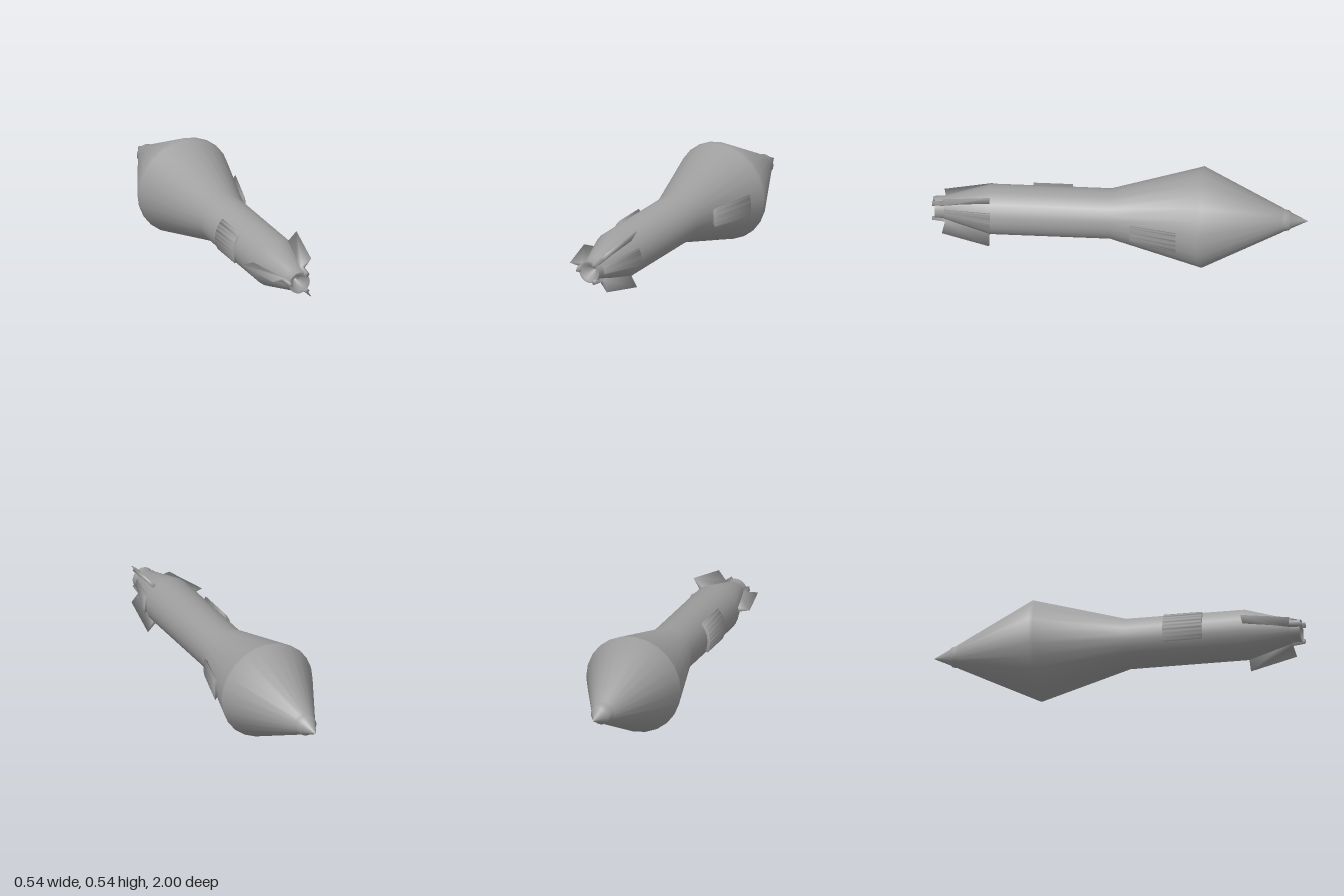
import * as THREE from 'three';
import { toCreasedNormals } from 'three/addons/utils/BufferGeometryUtils.js';

const material = new THREE.MeshStandardMaterial({ color: 0xa0a0a0 });
const rad = THREE.MathUtils.degToRad;

function part(name, geometry, crease) {
  const mesh = new THREE.Mesh(toCreasedNormals(geometry, crease), material);
  mesh.name = name;
  return mesh;
}

// Curved raised plate on the hull: section at zA with rA, blending to zB with rB
function plate(name, zA, zB, rA, rB, spanA, spanB, centre, depth) {
  const shape = new THREE.Shape();
  shape.absarc(0, 0, 1, -0.5, 0.5, false);
  shape.lineTo(0, 0);
  const geo = new THREE.ExtrudeGeometry(shape, { depth: 1, bevelEnabled: false, curveSegments: 8 });
  const pos = geo.attributes.position;
  for (let i = 0; i < pos.count; i++) {
    const t = pos.getZ(i);
    const outer = THREE.MathUtils.lerp(rA, rB, t);
    const span = rad(THREE.MathUtils.lerp(spanA, spanB, t));
    const isOuter = Math.hypot(pos.getX(i), pos.getY(i)) > 0.5;
    const r = isOuter ? outer : outer - depth;
    const angle = isOuter ? Math.atan2(pos.getY(i), pos.getX(i)) * span : 0;
    pos.setXYZ(i, r * Math.cos(angle), r * Math.sin(angle), THREE.MathUtils.lerp(zA, zB, t));
  }
  const mesh = part(name, geo, Math.PI);
  mesh.rotation.z = rad(centre);
  return mesh;
}

// Swept fin with a thick root rail and a knife-thin outer edge
function fin(centre) {
  const outline = [[0.69, 0.1], [0.69, 0.135], [0.69, 0.2], [0.945, 0.14], [0.93, 0.078], [1, 0.07], [1, 0.05], [0.9, 0.05]];
  const shape = new THREE.Shape(outline.map(([z, r]) => new THREE.Vector2(z, r)));
  const geo = new THREE.ExtrudeGeometry(shape, { depth: 1, bevelEnabled: false });
  const pos = geo.attributes.position;
  for (let i = 0; i < pos.count; i++) {
    const z = pos.getX(i), r = pos.getY(i), side = pos.getZ(i) - 0.5;
    const thickness = r > 0.137 ? 0.003 : 0.022;
    pos.setXYZ(i, r, side * thickness, z);
  }
  const mesh = part('tailFin', geo, Math.PI);
  mesh.rotation.z = rad(centre);
  return mesh;
}

export function createModel() {
  const group = new THREE.Group();
  group.name = 'rocket';
  const rocket = new THREE.Group();
  rocket.name = 'rocketBody';
  rocket.position.y = 0.275;
  group.add(rocket);

  // Hull from nose tip, over the small fuse collar, to the hollow exhaust
  const profile = [
    [0, -1], [0.043, -0.91], [0.054, -0.9], [0.058, -0.875], [0.066, -0.862], [0.272, -0.44], [0.266, -0.42],
    [0.135, 0.05], [0.135, 0.69], [0.065, 0.93], [0.06, 0.94], [0.06, 0.985], [0.046, 0.985], [0, 0.9],
  ].map(([r, z]) => new THREE.Vector2(r, z));
  const hull = new THREE.LatheGeometry(profile, 24);
  hull.rotateX(Math.PI / 2);
  rocket.add(part('hull', hull, 1.25));

  // Three tail fins
  for (const angle of [52, 173, -52]) rocket.add(fin(angle));

  // Raised plates: tail fairing, side panel and shoulder pod
  rocket.add(plate('tailFairing', 0.685, 0.935, 0.15, 0.068, 40, 36, 6, 0.06));
  rocket.add(plate('sidePanel', 0.26, 0.47, 0.15, 0.15, 70, 70, 171, 0.09));
  rocket.add(plate('shoulderPod', -0.31, -0.06, 0.252, 0.184, 29, 33, 0, 0.06));

  return group;
}
